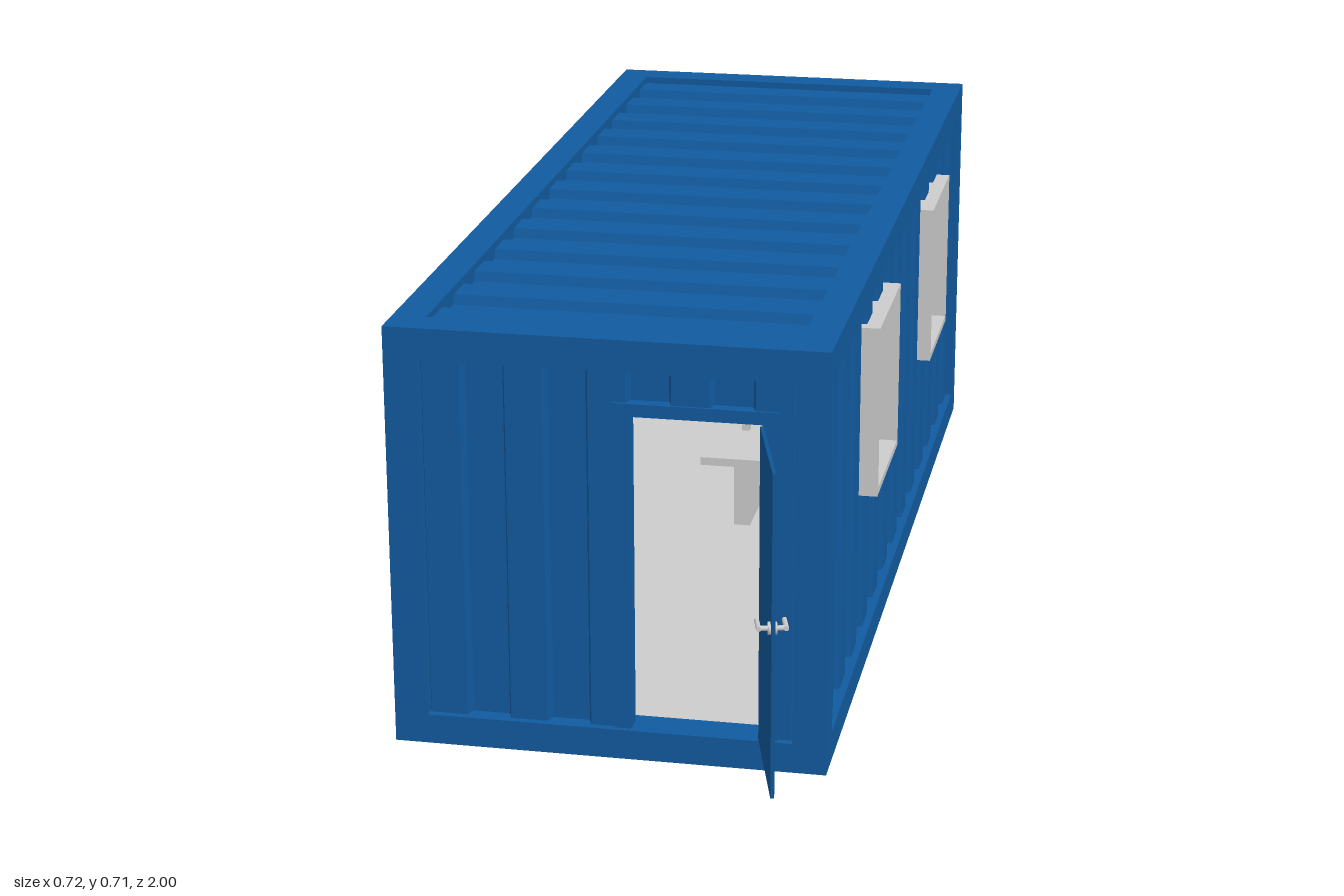
import * as THREE from 'three';

const mat = (color) => new THREE.MeshStandardMaterial({ color });
const blue = mat(0x115a9e), doorBlue = mat(0x0f5594), grey = mat(0xcccccc);
const dark = mat(0x858585), brown = mat(0x6b645c), pipeGrey = mat(0x9a9a9a);

// Body extents and frame widths
const X0 = -0.36, X1 = 0.345, Y0 = 0.008, Y1 = 0.712, Z0 = -1, Z1 = 0.8;
const PX0 = -0.305, PX1 = 0.29, PY0 = 0.058, PY1 = 0.66, PZ0 = -0.94, PZ1 = 0.74;

// Box given by its min and max corners
function box(parent, name, m, x0, x1, y0, y1, z0, z1) {
  const mesh = new THREE.Mesh(new THREE.BoxGeometry(x1 - x0, y1 - y0, z1 - z0), m);
  mesh.position.set((x0 + x1) / 2, (y0 + y1) / 2, (z0 + z1) / 2);
  mesh.name = name;
  parent.add(mesh);
  return mesh;
}

// Round bar between two points
function rod(parent, name, m, a, b, r, sides = 12) {
  const p = new THREE.Vector3(...a), q = new THREE.Vector3(...b);
  const mesh = new THREE.Mesh(new THREE.CylinderGeometry(r, r, p.distanceTo(q), sides), m);
  mesh.position.copy(p).lerp(q, 0.5);
  mesh.quaternion.setFromUnitVectors(new THREE.Vector3(0, 1, 0), q.sub(p).normalize());
  mesh.name = name;
  parent.add(mesh);
}

// Corrugated sheet pieces [u0, u1, v0, v1] on a wall facing D, ribs running along V
function corrugated(parent, name, D, V, offset, start, pitch, pieces) {
  const d = new THREE.Vector3(...D), v = new THREE.Vector3(...V);
  const u = new THREE.Vector3().crossVectors(d, v);
  const matrix = new THREE.Matrix4().makeBasis(u, d, v).setPosition(d.clone().multiplyScalar(offset));
  const slope = 0.003, thick = 0.005;
  const level = (k) => (Math.abs(k) % 2 ? -0.028 : -0.012);
  const depth = (t) => {
    const k = Math.round((t - start) / pitch);
    const s = THREE.MathUtils.clamp((t - start - k * pitch) / slope, -1, 1);
    return THREE.MathUtils.lerp(level(k - 1), level(k), (s + 1) / 2);
  };
  const wall = new THREE.Group();
  wall.name = name;
  for (const [u0, u1, v0, v1] of pieces) {
    const ts = [u0];
    for (let k = Math.floor((u0 - start) / pitch); start + k * pitch < u1 + pitch; k++)
      for (const t of [start + k * pitch - slope, start + k * pitch + slope])
        if (t > u0 + 1e-4 && t < u1 - 1e-4) ts.push(t);
    ts.push(u1);
    const outer = ts.map((t) => new THREE.Vector2(t, depth(t)));
    const inner = ts.map((t) => new THREE.Vector2(t, depth(t) - thick)).reverse();
    const geo = new THREE.ExtrudeGeometry(new THREE.Shape([...outer, ...inner]), { depth: v1 - v0, bevelEnabled: false });
    geo.translate(0, 0, v0).applyMatrix4(matrix);
    const mesh = new THREE.Mesh(geo, blue);
    mesh.name = name + 'Sheet';
    wall.add(mesh);
  }
  parent.add(wall);
}

export function createModel() {
  const model = new THREE.Group();
  model.name = 'containerOffice';

  // Steel frame: corner posts, then rails along x and z
  const frame = new THREE.Group();
  frame.name = 'frame';
  model.add(frame);
  for (const [xa, xb] of [[X0, PX0], [PX1, X1]]) {
    for (const [za, zb] of [[Z0, PZ0], [PZ1, Z1]]) box(frame, 'cornerPost', blue, xa, xb, Y0, Y1, za, zb);
    for (const [ya, yb] of [[Y0, PY0], [PY1, Y1]]) box(frame, 'sideRail', blue, xa, xb, ya, yb, PZ0, PZ1);
  }
  for (const [za, zb] of [[Z0, PZ0], [PZ1, Z1]])
    for (const [ya, yb] of [[Y0, PY0], [PY1, Y1]]) box(frame, 'endRail', blue, PX0, PX1, ya, yb, za, zb);

  // Corrugated walls and roof
  const up = [0, 1, 0], P = 0.0661;
  const windows = [[-0.672, -0.408], [0.072, 0.336]], wy0 = 0.307, wy1 = 0.605;
  corrugated(model, 'frontWall', [0, 0, 1], up, Z1, -PX1, P, [
    [-PX1, -0.265, PY0, PY1], [-0.265, -0.003, 0.607, PY1], [-0.003, -PX0, PY0, PY1]]);
  corrugated(model, 'backWall', [0, 0, -1], up, -Z0, PX0, 0.119, [[PX0, PX1, PY0, PY1]]);
  corrugated(model, 'rightEdgeWall', [-1, 0, 0], up, -X0, -PZ1, P, [[-PZ1, -PZ0, PY0, PY1]]);
  const [[a0, a1], [b0, b1]] = windows;
  corrugated(model, 'windowWall', [1, 0, 0], up, X1, PZ0, P, [
    [PZ0, a0, PY0, PY1], [a1, b0, PY0, PY1], [b1, PZ1, PY0, PY1],
    ...windows.flatMap(([s, e]) => [[s, e, PY0, wy0], [s, e, wy1, PY1]])]);
  corrugated(model, 'roof', [0, 1, 0], [-1, 0, 0], Y1, PZ0, P, [[PZ0, PZ1, -PX1, -PX0]]);

  // Window surrounds
  for (const [s, e] of windows) {
    const w = new THREE.Group(), t = 0.012, xi = 0.305, xo = 0.358;
    w.name = 'windowFrame';
    for (const z of [s, e - t]) box(w, 'windowJamb', grey, xi, xo, wy0, wy1, z, z + t);
    for (const y of [wy0, wy1 - t]) box(w, 'windowRail', grey, xi, xo, y, y + t, s + t, e - t);
    model.add(w);
  }

  // Door surround
  box(model, 'doorJamb', blue, 0.003, 0.029, PY0, 0.607, 0.76, 0.792);
  box(model, 'doorJamb', blue, 0.238, 0.265, PY0, 0.607, 0.76, 0.792);
  box(model, 'doorLintel', blue, 0.029, 0.238, 0.586, 0.607, 0.76, 0.792);

  // Open door leaf with lever handles on both faces
  const door = new THREE.Group();
  door.name = 'door';
  door.position.set(0.238, 0, 0.795);
  door.rotation.y = -Math.atan2(0.2, 0.053);
  box(door, 'doorLeaf', doorBlue, 0, 0.211, 0.06, 0.585, -0.003, 0.003);
  rod(door, 'handleSpindle', grey, [0.192, 0.333, -0.022], [0.192, 0.333, 0.022], 0.004);
  for (const s of [-1, 1]) {
    rod(door, 'handleRose', grey, [0.192, 0.333, s * 0.003], [0.192, 0.333, s * 0.007], 0.01, 16);
    rod(door, 'handleLever', grey, [0.196, 0.333, s * 0.021], [0.16, 0.333, s * 0.021], 0.004);
  }
  model.add(door);

  // Floor and its underside
  box(model, 'floor', grey, PX0, PX1, 0.04, PY0, PZ0, PZ1);
  box(model, 'underside', dark, PX0, PX1, 0.014, 0.04, PZ0, PZ1);

  // Seat inside
  const seat = new THREE.Group();
  seat.name = 'seat';
  box(seat, 'seatTop', grey, -0.03, 0.137, 0.18, 0.195, -0.28, -0.1);
  box(seat, 'seatLeg', grey, 0.03, 0.06, PY0, 0.18, -0.26, -0.12);
  box(seat, 'seatSidePanel', brown, 0.127, 0.15, PY0, 0.19, -0.3, -0.281);
  box(seat, 'seatBackPost', grey, 0.02, 0.034, 0.195, 0.275, -0.275, -0.26);
  box(seat, 'seatBack', brown, -0.03, 0.09, 0.23, 0.338, -0.3, -0.28);
  model.add(seat);

  // Drain pipes and outlets under the floor
  const y = 0.007, drains = new THREE.Group();
  drains.name = 'drains';
  const runs = [
    [[0.047, -0.66], [0.047, -0.485]], [[0.047, -0.485], [-0.34, -0.485]],
    [[-0.18, -0.635], [-0.18, -0.27]], [[-0.18, -0.27], [-0.33, -0.27]]];
  for (const [p, q] of runs) rod(drains, 'drainPipe', pipeGrey, [p[0], y, p[1]], [q[0], y, q[1]], 0.007);
  for (const [x, z] of [[0.047, -0.66], [0.047, -0.485], [-0.18, -0.635], [-0.18, -0.27]])
    rod(drains, 'drainElbow', pipeGrey, [x, 0.001, z], [x, 0.02, z], 0.008);
  for (const [x, z] of [[0.135, -0.655], [0.14, -0.49], [-0.085, -0.27], [-0.12, -0.46]])
    rod(drains, 'drainOutlet', dark, [x, 0.003, z], [x, 0.02, z], 0.014, 16);
  model.add(drains);

  return model;
}
